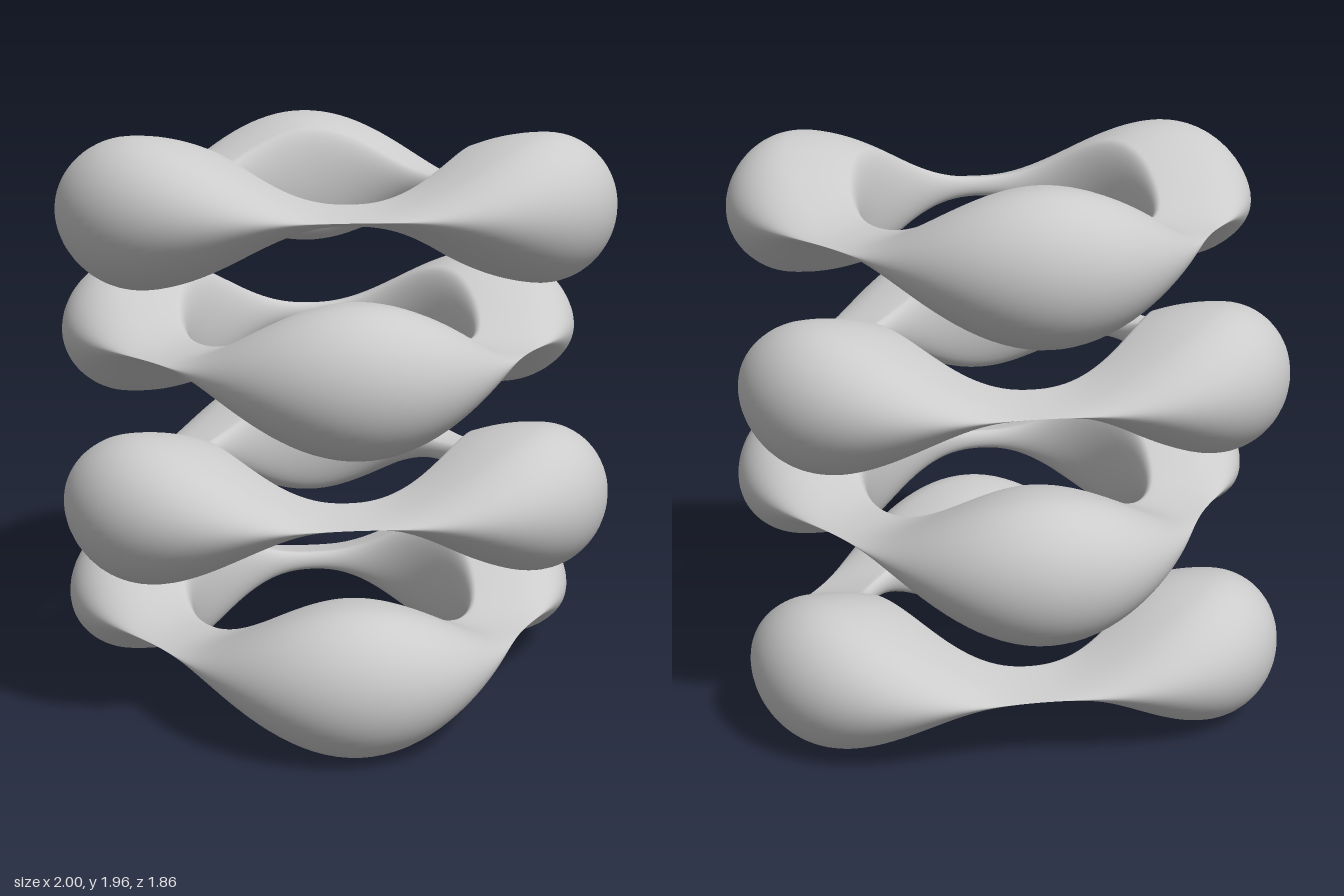
import * as THREE from 'three';
import { mergeVertices } from 'three/addons/utils/BufferGeometryUtils.js';

const lerp = THREE.MathUtils.lerp;

// Upper half of the cross-section, f = 0 (outer edge) to 1 (inner edge).
// Returns radius and height for the fat lobe and for the thin waist.
function section(f) {
  if (f > 0.75) {
    // rounded inner wall
    const a = (1 - f) / 0.25 * Math.PI / 2;
    return {
      lobe: [0.53 - 0.06 * Math.cos(a), 0.2 * Math.sin(a)],
      waist: [0.53 - 0.025 * Math.cos(a), 0.035 * Math.sin(a)],
    };
  }
  let r, h;
  if (f < 0.5) {
    // bulging outer quarter
    const a = f * Math.PI;
    r = 0.77 + 0.23 * Math.cos(a);
    h = 0.245 * Math.sin(a);
  } else {
    // gentle slope from crest to inner shoulder
    const s = (f - 0.5) / 0.25;
    r = 0.77 - 0.24 * s;
    h = 0.245 - 0.045 * s * s;
  }
  // the waist is a thin wedge, sharp at the outside
  const q = (1 - r) / 0.47;
  return { lobe: [r, h], waist: [0.73 - 0.2 * q, 0.035 * q] };
}

// Three-lobed ring: a torus grid reshaped by blending the two sections
function ringGeometry() {
  const around = 144, tube = 64;
  let geo = new THREE.TorusGeometry(0.7, 0.2, tube, around);
  const pos = geo.attributes.position;
  for (let j = 0, k = 0; j <= tube; j++) {
    const v = j / tube;
    const upper = v <= 0.5;
    const { lobe, waist } = section(upper ? v * 2 : 2 - v * 2);
    for (let i = 0; i <= around; i++, k++) {
      const phi = i / around * Math.PI * 2;
      const w = (1 + Math.cos(3 * phi)) / 2;
      const r = lerp(waist[0], lobe[0], w);
      const h = lerp(waist[1], lobe[1], Math.pow(w, 1.2));
      pos.setXYZ(k, r * Math.cos(phi), r * Math.sin(phi), upper ? h : -h);
    }
  }
  // weld the seams for smooth normals, then lay the ring flat
  geo.deleteAttribute('uv');
  geo.deleteAttribute('normal');
  geo = mergeVertices(geo, 1e-5);
  geo.rotateX(-Math.PI / 2);
  geo.computeVertexNormals();
  return geo;
}

export function createModel() {
  const group = new THREE.Group();
  group.name = 'stackedRings';
  const material = new THREE.MeshStandardMaterial({ color: 0xcccccc });
  const geometry = ringGeometry();
  // four touching rings, every other one turned half way round
  for (let i = 0; i < 4; i++) {
    const ring = new THREE.Mesh(geometry, material);
    ring.name = `lobedRing${i + 1}`;
    ring.position.y = 0.245 + 0.49 * i;
    ring.rotation.y = i % 2 ? Math.PI : 0;
    group.add(ring);
  }
  return group;
}
